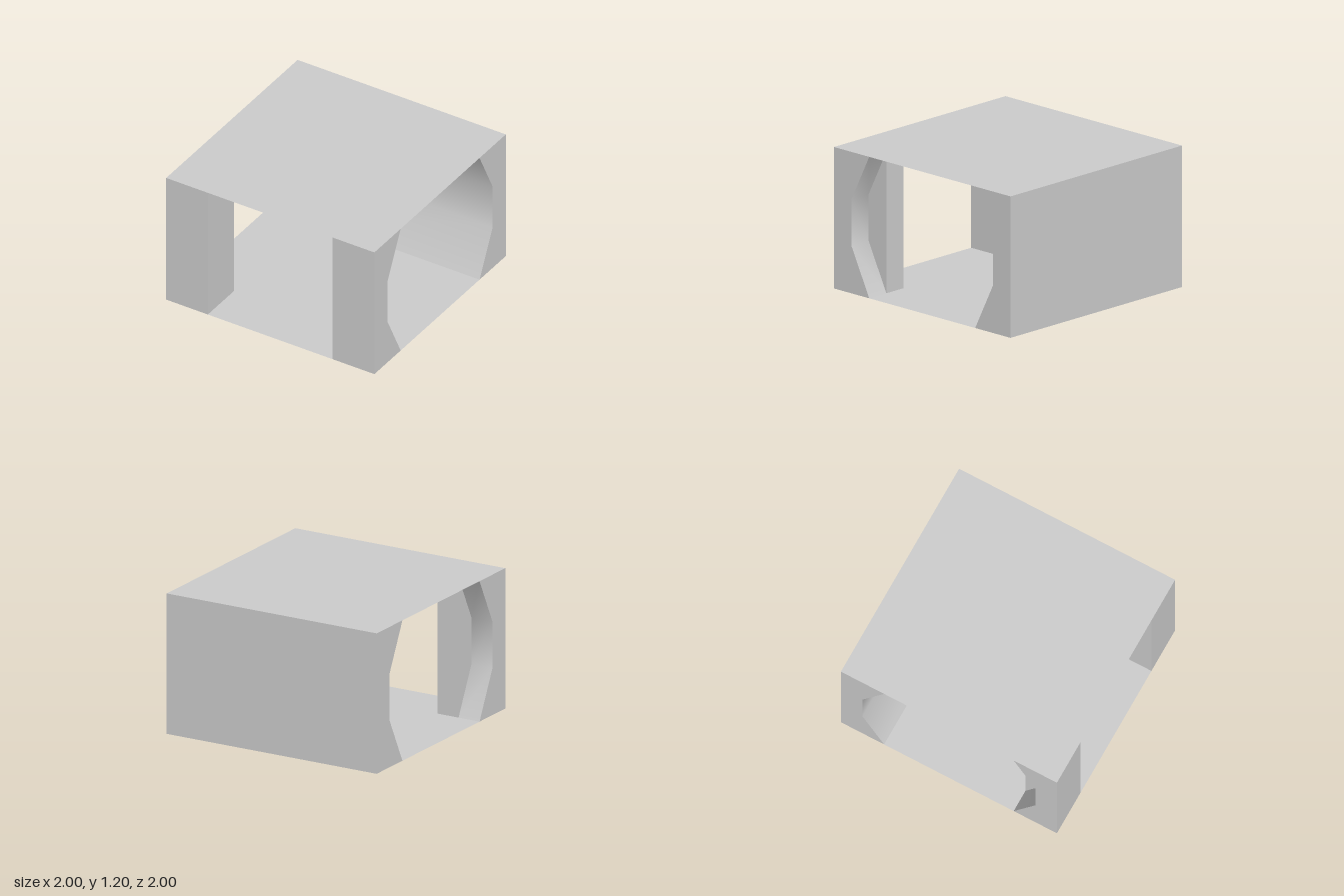
import * as THREE from 'three';

const H = 1.2;
const material = new THREE.MeshStandardMaterial({ color: 0xcccccc, side: THREE.DoubleSide });

function add(parent, name, geometry) {
  const mesh = new THREE.Mesh(geometry, material);
  mesh.name = name;
  parent.add(mesh);
  return mesh;
}

function flat(points) {
  return new THREE.ShapeGeometry(new THREE.Shape(points.map(([a, b]) => new THREE.Vector2(a, b))));
}

// Flat panel at a constant x, outlined in (z, y)
const sidePanel = (x, points) => flat(points).rotateY(-Math.PI / 2).translate(x, 0, 0);

// Upright rectangle at a constant z
const frontPanel = (z, x0, x1) => flat([[x0, 0], [x1, 0], [x1, H], [x0, H]]).translate(0, 0, z);

// Level panel at a constant y, outlined in (x, z)
const levelPanel = (y, points) => flat(points).rotateX(Math.PI / 2).translate(0, y, 0);

// Smooth-shaded strip: a (z, y) profile swept from x0 to x1
function sweptStrip(profile, x0, x1) {
  const positions = [], index = [];
  profile.forEach(([z, y], i) => {
    positions.push(x0, y, z, x1, y, z);
    const a = i * 2;
    if (i) index.push(a - 2, a - 1, a + 1, a - 2, a + 1, a);
  });
  const geometry = new THREE.BufferGeometry();
  geometry.setAttribute('position', new THREE.Float32BufferAttribute(positions, 3));
  geometry.setIndex(index);
  geometry.computeVertexNormals();
  return geometry;
}

// Bowed inner profile, mirrored in z between the back wall and the front pillars
const bow = (s) => [[0.6 * s, 0], [0.8 * s, 0.4], [0.8 * s, 0.8], [0.6 * s, H]];

export function createModel() {
  const model = new THREE.Group();
  model.name = 'openRoom';

  // Ceiling covers everything; the floor stops at the wall and pillars
  add(model, 'ceiling', levelPanel(H, [[-1, -1], [1, -1], [1, 1], [-1, 1]]));
  add(model, 'floor', levelPanel(0, [
    [-1, -0.6], [1, -0.6], [1, 0.6], [0.6, 0.6], [0.6, 1], [-0.6, 1], [-0.6, 0.6], [-1, 0.6],
  ]));

  // Hollow back wall with a bowed inner face
  const backWall = new THREE.Group();
  backWall.name = 'backWall';
  model.add(backWall);
  add(backWall, 'outerFace', frontPanel(-1, -1, 1));
  add(backWall, 'innerFace', sweptStrip(bow(-1), -1, 1));
  for (const s of [-1, 1]) add(backWall, 'endFace', sidePanel(s, [[-1, 0], ...bow(-1), [-1, H]]));

  // Hollow front pillars with a bowed recess on the outer half of the rear face
  for (const s of [-1, 1]) {
    const pillar = new THREE.Group();
    pillar.name = s > 0 ? 'leftPillar' : 'rightPillar';
    model.add(pillar);
    add(pillar, 'frontFace', frontPanel(1, s * 0.6, s));
    add(pillar, 'rearFace', frontPanel(0.6, s * 0.6, s * 0.8));
    add(pillar, 'innerFace', sidePanel(s * 0.6, [[0.6, 0], [1, 0], [1, H], [0.6, H]]));
    add(pillar, 'outerFace', sidePanel(s, [[1, 0], ...bow(1), [1, H]]));
    add(pillar, 'recess', sweptStrip(bow(1), s * 0.8, s));
    add(pillar, 'recessSide', sidePanel(s * 0.8, bow(1)));
  }
  return model;
}
